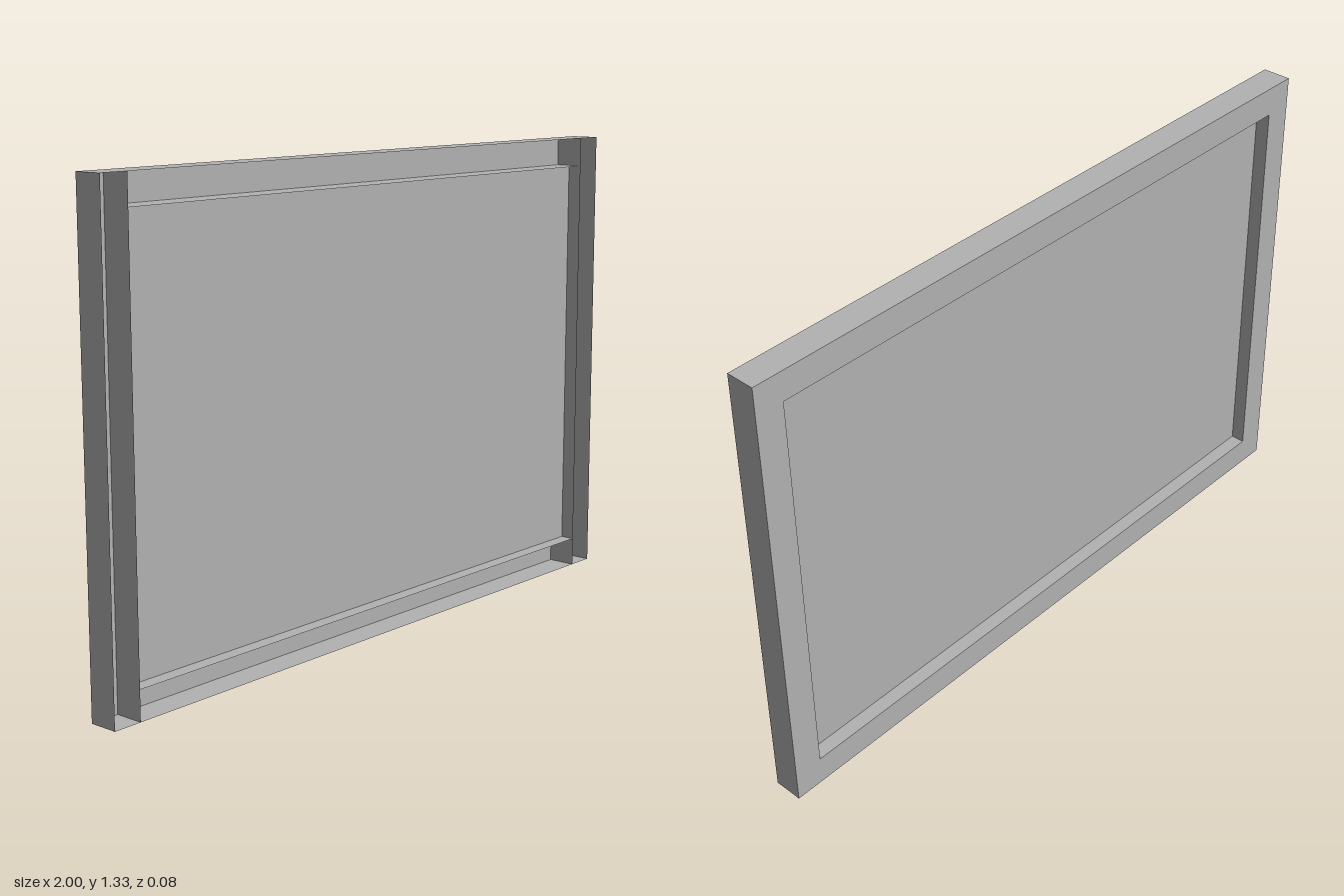
import * as THREE from 'three';

// Overall size: width, height, depth, and the width of the border members
const W = 2, H = 4 / 3, D = 1 / 12, B = 1 / 12;

export function createModel() {
  const model = new THREE.Group();
  model.name = 'framedPanel';

  const grey = new THREE.MeshStandardMaterial({ color: 0xb2b2b2, side: THREE.DoubleSide });
  grey.name = 'grey';

  // Flat sheet centred at x, y, z, optionally turned about one axis
  function sheet(parent, name, w, h, x, y, z, axis, angle = 0) {
    const mesh = new THREE.Mesh(new THREE.PlaneGeometry(w, h), grey);
    mesh.name = name;
    mesh.position.set(x, y, z);
    if (axis) mesh.rotation[axis] = angle;
    parent.add(mesh);
  }

  function part(name) {
    const group = new THREE.Group();
    group.name = name;
    model.add(group);
    return group;
  }

  // Stiles: full-height channels, open at the front
  for (const s of [-1, 1]) {
    const stile = part(s > 0 ? 'leftStile' : 'rightStile');
    const outer = s * W / 2, inner = s * (W / 2 - B), mid = (outer + inner) / 2;
    sheet(stile, 'outerWall', D, H, outer, H / 2, 0, 'y', s * Math.PI / 2);
    sheet(stile, 'innerWall', D, H, inner, H / 2, 0, 'y', -s * Math.PI / 2);
    sheet(stile, 'backWall', B, H, mid, H / 2, -D / 2, 'y', Math.PI);
    sheet(stile, 'topEnd', B, D, mid, H, 0, 'x', -Math.PI / 2);
    sheet(stile, 'bottomEnd', B, D, mid, 0, 0, 'x', Math.PI / 2);
  }

  // Rails: channels between the stiles, open at the front
  const span = W - 2 * B;
  for (const s of [-1, 1]) {
    const rail = part(s > 0 ? 'topRail' : 'bottomRail');
    const outer = H / 2 + s * H / 2, inner = outer - s * B;
    sheet(rail, 'outerWall', span, D, 0, outer, 0, 'x', -s * Math.PI / 2);
    sheet(rail, 'innerWall', span, D, 0, inner, 0, 'x', s * Math.PI / 2);
    sheet(rail, 'backWall', span, B, 0, (outer + inner) / 2, -D / 2, 'y', Math.PI);
  }

  // Thin panel filling the opening at mid depth
  sheet(model, 'panel', span, H - 2 * B, 0, H / 2, 0);

  return model;
}
